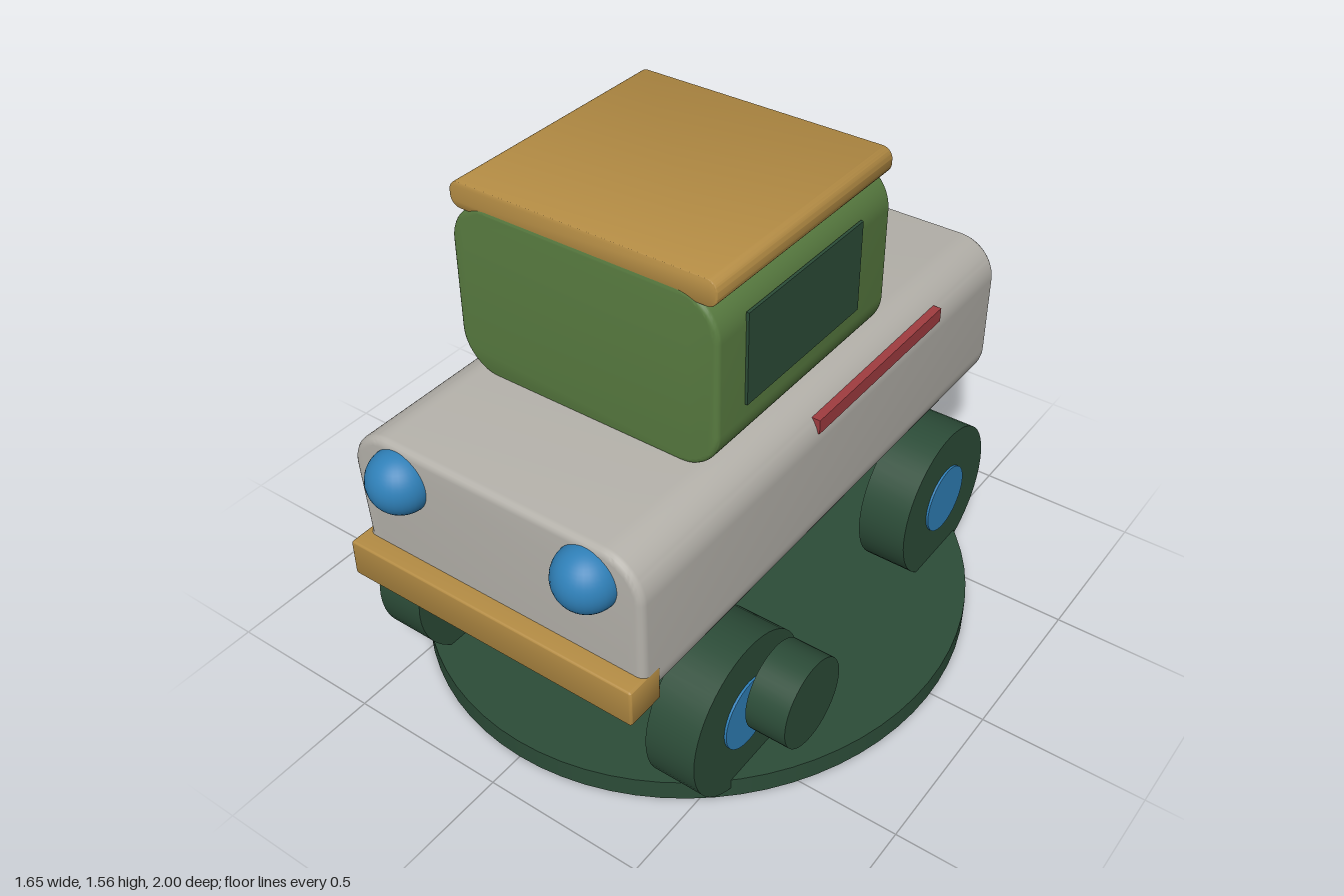
import * as THREE from 'three';
import { toCreasedNormals } from 'three/addons/utils/BufferGeometryUtils.js';

const material = (name, color) => {
  const m = new THREE.MeshStandardMaterial({ color });
  m.name = name;
  return m;
};

export function createModel() {
  const grey = material('warm grey', 0xb4b1aa);
  const green = material('leaf green', 0x587b40);
  const ochre = material('ochre', 0xb48c44);
  const dark = material('dark green', 0x2c4c38);
  const blue = material('blue', 0x2f80b8);
  const red = material('red', 0xa03c40);

  const group = new THREE.Group();
  group.name = 'toyCar';
  const add = (name, geometry, mat, x = 0, y = 0, z = 0) => {
    const mesh = new THREE.Mesh(geometry, mat);
    mesh.name = name;
    mesh.position.set(x, y, z);
    group.add(mesh);
    return mesh;
  };

  // Rounded cross-section in x and y; dent pulls the lower -x side inward
  const profile = (w, y0, y1, r, dent = 0) => {
    const s = new THREE.Shape();
    s.moveTo(-w + r, y0);
    s.lineTo(w - r, y0);
    s.absarc(w - r, y0 + r, r, -Math.PI / 2, 0);
    s.lineTo(w, y1 - r);
    s.absarc(w - r, y1 - r, r, 0, Math.PI / 2);
    s.lineTo(-w + r, y1);
    s.absarc(-w + r, y1 - r, r, Math.PI / 2, Math.PI);
    if (dent) s.lineTo(-w + dent, y0 + r + 0.03);
    s.lineTo(-w, y0 + r);
    s.absarc(-w + r, y0 + r, r, Math.PI, Math.PI * 1.5);
    return s;
  };

  // Extrudes a cross-section between two z positions with softened ends
  const loft = (shape, z0, z1, bevel) => {
    const g = new THREE.ExtrudeGeometry(shape, {
      depth: z1 - z0 - 2 * bevel,
      curveSegments: 10,
      bevelEnabled: bevel > 0,
      bevelSize: bevel,
      bevelThickness: bevel,
      bevelOffset: -bevel,
      bevelSegments: 4,
    });
    g.translate(0, 0, z0 + bevel);
    return toCreasedNormals(g, 0.6);
  };

  // Cylinder lying along x
  const axleCylinder = (r, width) =>
    new THREE.CylinderGeometry(r, r, width, 48).rotateZ(Math.PI / 2);

  // Base disc, slightly longer than wide
  const base = add('baseDisc', new THREE.CylinderGeometry(1, 1, 0.065, 72), dark, 0, 0.0325, 0.02);
  base.scale.set(0.826, 1, 0.866);

  // Body, cabin and roof
  add('body', loft(profile(0.477, 0.48, 0.99, 0.125, 0.018), -0.88, 0.91, 0.022), grey);
  add('cabin', loft(profile(0.422, 0.98, 1.505, 0.125), -0.273, 0.524, 0.015), green);
  add('roof', loft(profile(0.417, 1.48, 1.558, 0.033), -0.275, 0.522, 0.005), ochre);

  // Bumper and exhaust
  add('bumper', loft(profile(0.478, 0.508, 0.625, 0.01), 0.845, 0.965, 0.006), ochre);
  add('exhaustPipe', new THREE.CylinderGeometry(0.05, 0.05, 0.2, 32).rotateX(Math.PI / 2),
    dark, 0.285, 0.567, -0.9);

  for (const side of [1, -1]) {
    const label = side > 0 ? 'left' : 'right';
    add(label + 'Window', new THREE.BoxGeometry(0.009, 0.275, 0.525), dark, side * 0.4255, 1.28, 0.145);
    add(label + 'SideStripe', new THREE.BoxGeometry(0.06, 0.045, 0.66), red, side * 0.448, 0.918, -0.2);
    add(label + 'Headlight', new THREE.SphereGeometry(0.093, 32, 24), blue, side * 0.31, 0.882, 0.907);

    // Wheels with hubs showing on both faces
    for (const [end, z] of [['Front', 0.578], ['Rear', -0.507]]) {
      add(label + end + 'Wheel', axleCylinder(0.247, 0.157), dark, side * 0.486, 0.268, z);
      add(label + end + 'Hub', axleCylinder(0.11, 0.171), blue, side * 0.486, 0.275, z);
    }

    // Small outer drum beside each front wheel
    add(label + 'OuterDrum', axleCylinder(0.133, 0.123), dark, side * 0.667, 0.358, 0.518);
  }

  return group;
}
